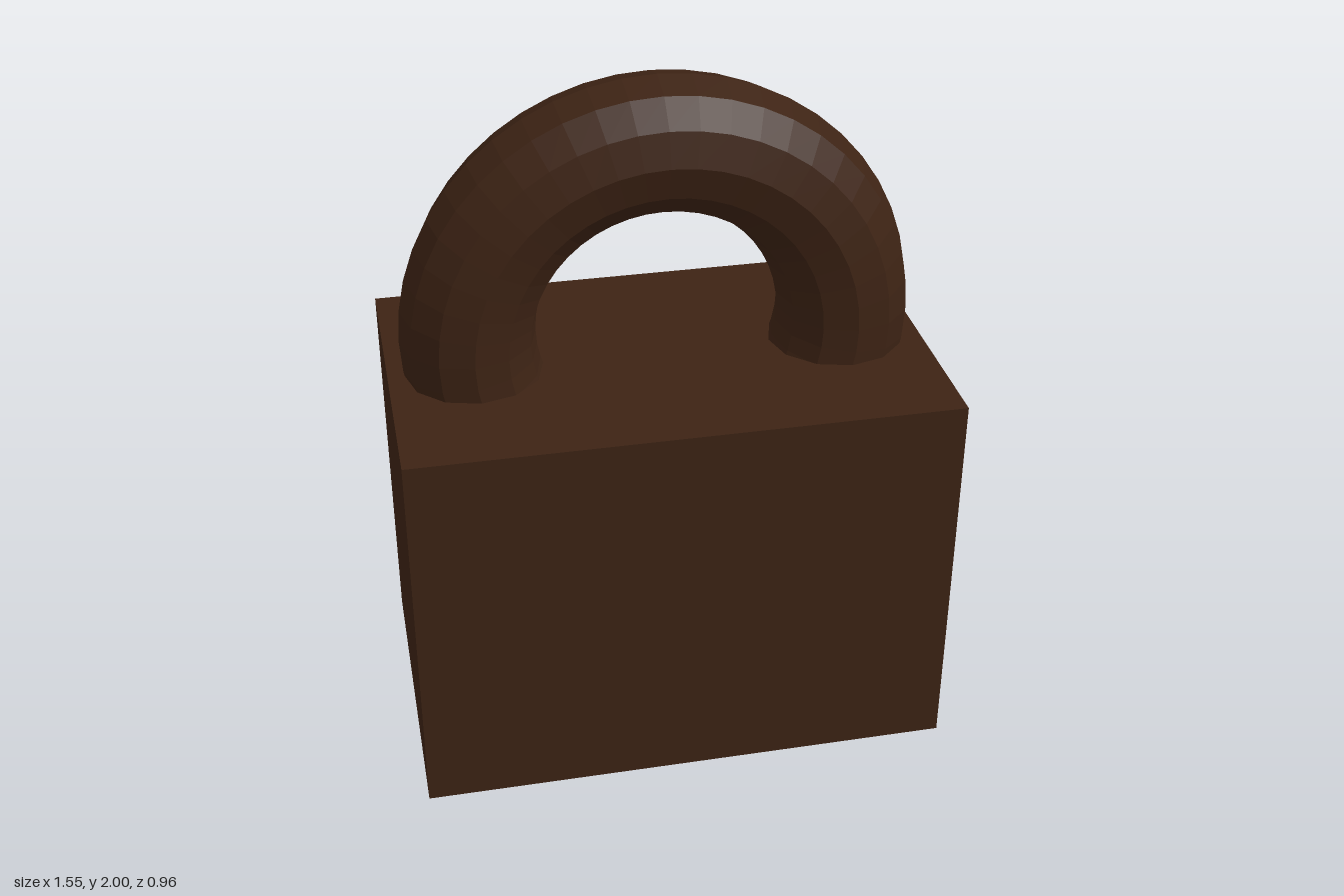
import * as THREE from 'three';

export function createModel() {
  const group = new THREE.Group();
  const material = new THREE.MeshStandardMaterial({ color: 0x3d2314, flatShading: true });

  // Solid block body standing on the ground
  const height = 1.152;
  const body = new THREE.Mesh(new THREE.BoxGeometry(1.554, height, 0.963), material);
  body.name = 'body';
  body.position.y = height / 2;
  group.add(body);

  // Upright ring whose lower part is sunk into the body
  const ringRadius = 0.544, tubeRadius = 0.193;
  const shackle = new THREE.Mesh(new THREE.TorusGeometry(ringRadius, tubeRadius, 12, 48), material);
  shackle.name = 'shackle';
  shackle.position.y = 2 - ringRadius - tubeRadius;
  group.add(shackle);

  return group;
}
